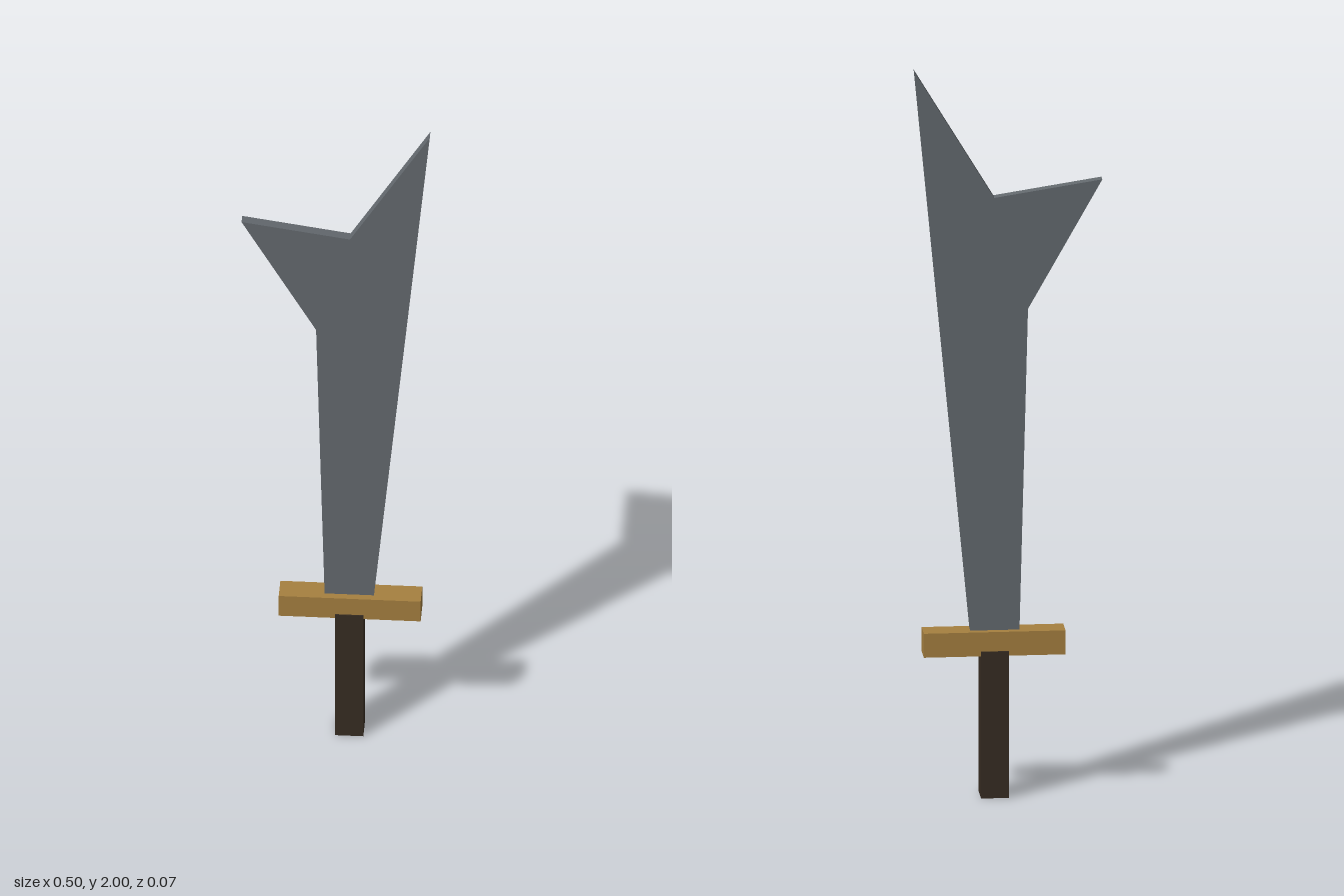
import * as THREE from 'three';

const material = (name, color) => {
  const m = new THREE.MeshStandardMaterial({ color });
  m.name = name;
  return m;
};

// Box given by its minimum and maximum corners
function block(name, min, max, mat) {
  const size = max.map((v, i) => v - min[i]);
  const mesh = new THREE.Mesh(new THREE.BoxGeometry(...size), mat);
  mesh.position.set(...max.map((v, i) => (v + min[i]) / 2));
  mesh.name = name;
  return mesh;
}

export function createModel() {
  const steel = material('steel grey', 0x646a6f);
  const brass = material('brass', 0xa68040);
  const wood = material('dark wood', 0x372c22);

  const model = new THREE.Group();
  model.name = 'sword';

  // Grip, slightly thicker than the guard it runs into
  model.add(block('grip', [0, 0, -0.037], [0.075, 0.404, 0.035], wood));

  // Crossguard
  model.add(block('crossguard', [-0.15, 0.391, -0.034], [0.227, 0.457, 0.032], brass));

  // Flat blade flaring into a forked tip
  const outline = [
    [-0.029, 0.44], [0.1, 0.44], [0.18, 1.27], [0.25, 2],
    [0.038, 1.648], [-0.25, 1.692], [-0.052, 1.34],
  ].map(([x, y]) => new THREE.Vector2(x, y));
  const bladeGeometry = new THREE.ExtrudeGeometry(new THREE.Shape(outline), {
    depth: 0.027, bevelEnabled: false,
  });
  const blade = new THREE.Mesh(bladeGeometry, steel);
  blade.position.z = -0.0145;
  blade.name = 'blade';
  model.add(blade);

  return model;
}
